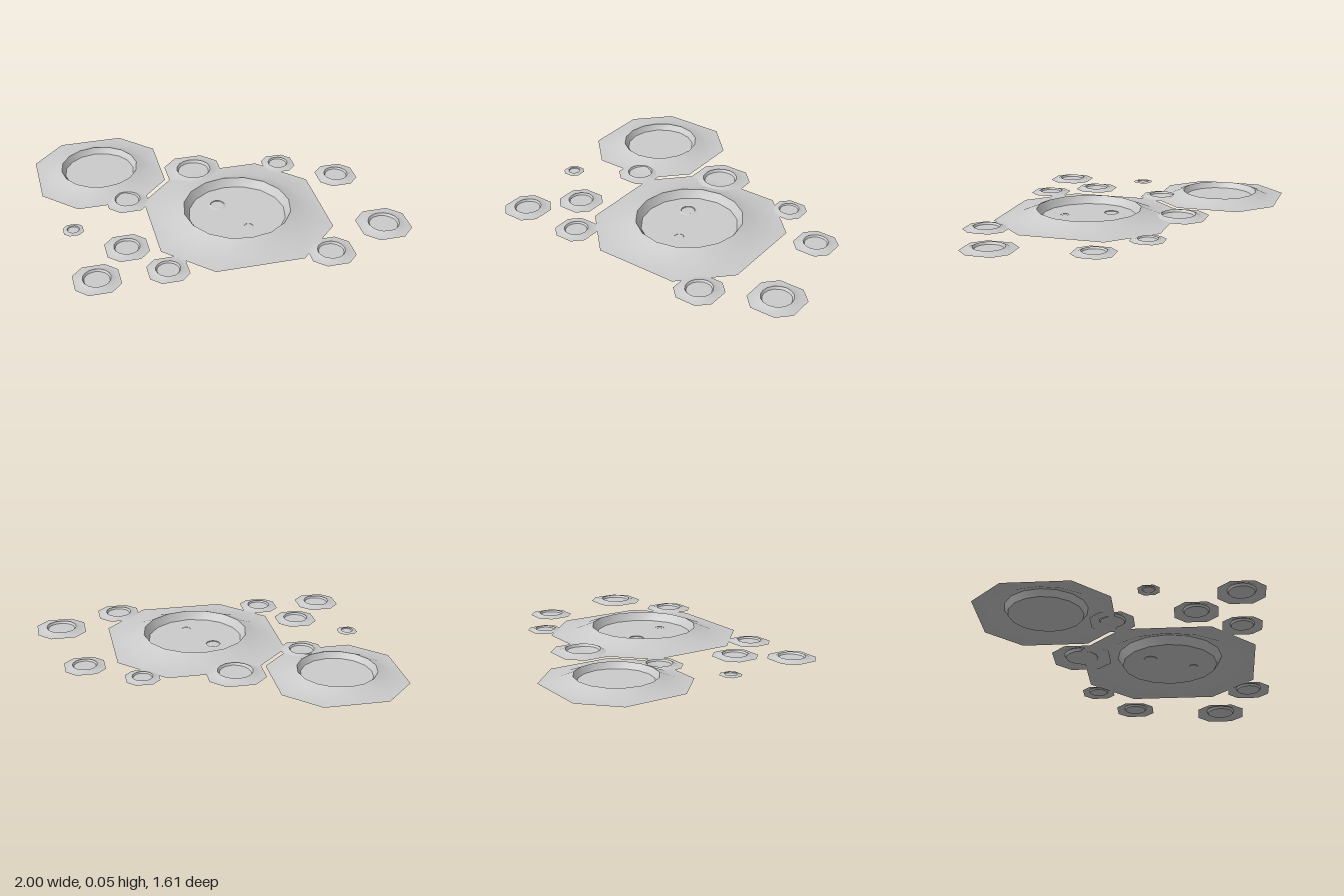
import * as THREE from 'three';
import { toCreasedNormals } from 'three/addons/utils/BufferGeometryUtils.js';

const SIDES = 16;

// Outline of the skirt: an octagon with corners at (1, 0.5), with edge midpoints
function octagonPoint(i) {
  const pattern = [[1, 0], [1, 0.5], [0.75, 0.75], [0.5, 1]];
  const [x, z] = pattern[i % 4];
  const turn = Math.floor((i % SIDES) / 4);
  return [[x, z], [-z, x], [-x, -z], [z, -x]][turn];
}

function circlePoint(i, r) {
  const a = (i / SIDES) * Math.PI * 2;
  return [Math.cos(a) * r, Math.sin(a) * r];
}

// Unit crater: octagonal skirt, rising slope, rim, steep inner wall, flat floor
function craterGeometry() {
  const rings = [
    { y: 0, at: octagonPoint },
    { y: 0.01, at: i => circlePoint(i, 0.84) },
    { y: 0.1, at: i => circlePoint(i, 0.62) },
    { y: 0.006, at: i => circlePoint(i, 0.56) },
  ];
  const positions = [];
  const index = [];
  for (const ring of rings) {
    for (let i = 0; i < SIDES; i++) {
      const [x, z] = ring.at(i);
      positions.push(x, ring.y, z);
    }
  }
  for (let r = 0; r < rings.length - 1; r++) {
    for (let i = 0; i < SIDES; i++) {
      const j = (i + 1) % SIDES;
      const a = r * SIDES + i, b = r * SIDES + j;
      const c = a + SIDES, d = b + SIDES;
      index.push(a, c, b, b, c, d);
    }
  }
  // Floor disc
  const centre = positions.length / 3;
  const last = (rings.length - 1) * SIDES;
  positions.push(0, 0.006, 0);
  for (let i = 0; i < SIDES; i++) {
    index.push(last + i, centre, last + ((i + 1) % SIDES));
  }
  const geometry = new THREE.BufferGeometry();
  geometry.setAttribute('position', new THREE.Float32BufferAttribute(positions, 3));
  geometry.setIndex(index);
  return toCreasedNormals(geometry, 0.7);
}

export function createModel() {
  const group = new THREE.Group();
  group.name = 'craterField';
  const material = new THREE.MeshStandardMaterial({ color: 0xcccccc, side: THREE.DoubleSide });
  const geometry = craterGeometry();

  function addCrater(name, x, z, halfWidth) {
    const crater = new THREE.Mesh(geometry, material);
    crater.name = name;
    crater.position.set(x, 0, z);
    crater.scale.setScalar(halfWidth);
    group.add(crater);
  }

  // Two main craters
  addCrater('largeCrater', 0.07, 0.2, 0.5);
  addCrater('mediumCrater', -0.63, -0.44, 0.37);

  // Scattered small craters: x, z, half width
  [
    [-0.07, -0.31, 0.165],
    [0.455, -0.265, 0.095],
    [0.76, -0.055, 0.115],
    [0.855, 0.5, 0.145],
    [0.48, 0.675, 0.125],
    [-0.425, 0.62, 0.11],
    [-0.81, 0.61, 0.125],
    [-0.605, 0.37, 0.118],
    [-0.87, 0.13, 0.056],
    [-0.52, -0.09, 0.12],
  ].forEach(([x, z, h], i) => addCrater(`smallCrater${i + 1}`, x, z, h));

  // Tiny craters poking through the large crater's floor
  addCrater('floorCrater1', -0.02, 0.09, 0.067);
  addCrater('floorCrater2', 0.1, 0.34, 0.043);

  return group;
}
